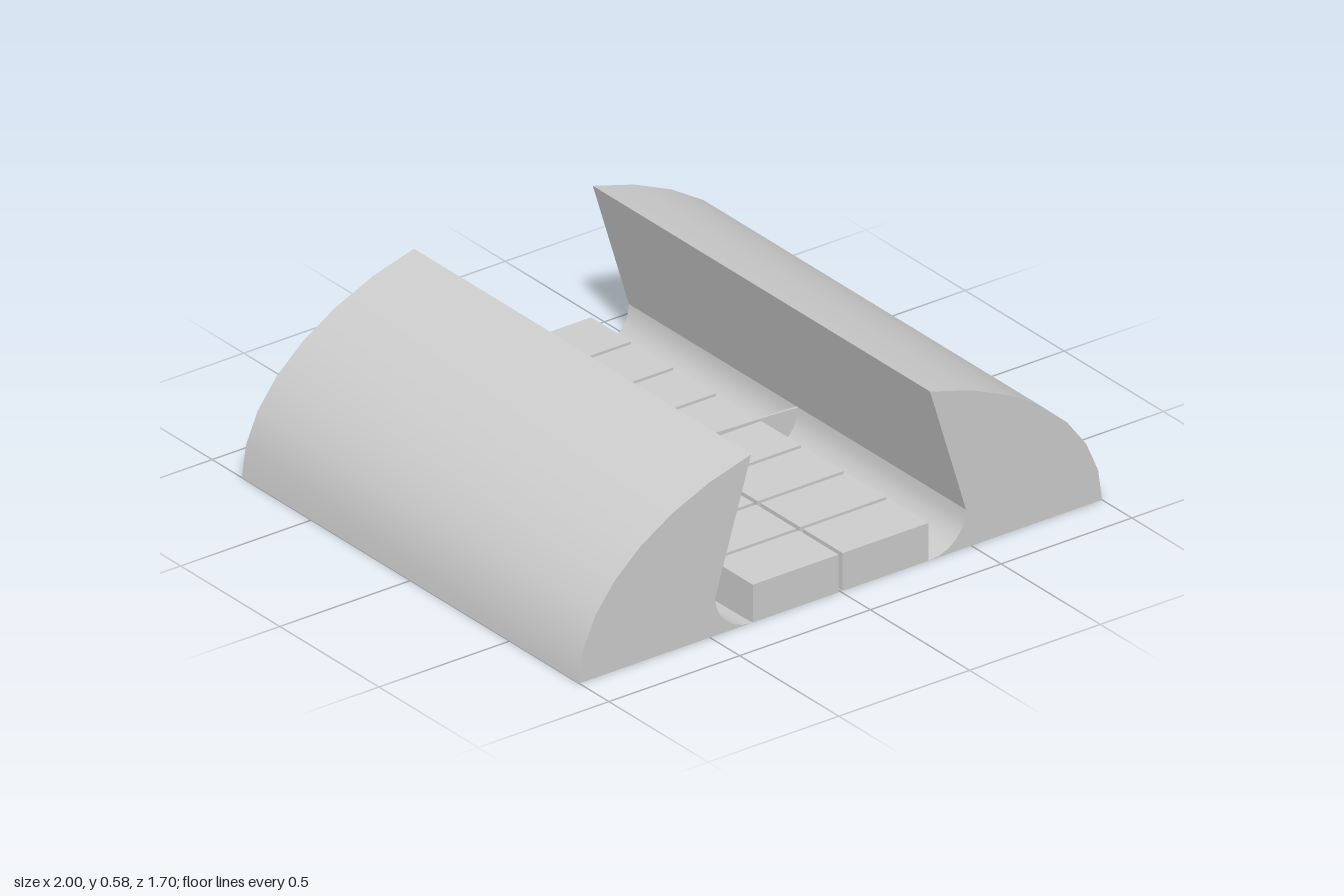
import * as THREE from 'three';

const HALF = 0.85; // half length along z
const mat = new THREE.MeshStandardMaterial({ color: 0xcccccc, side: THREE.DoubleSide });

const add = (parent, name, geometry) => {
  const mesh = new THREE.Mesh(geometry, mat);
  mesh.name = name;
  parent.add(mesh);
  return mesh;
};

// points on a quarter ellipse, from angle a to angle b in degrees
function ellipse(cx, cy, rx, ry, a, b, n) {
  return Array.from({ length: n + 1 }, (_, i) => {
    const t = THREE.MathUtils.degToRad(a + ((b - a) * i) / n);
    return new THREE.Vector2(cx + rx * Math.cos(t), cy + ry * Math.sin(t));
  });
}

// open sheet: a profile line swept along z, smooth along the profile
function sheet(points) {
  const pos = [], index = [];
  points.forEach((p, i) => {
    pos.push(p.x, p.y, HALF, p.x, p.y, -HALF);
    const k = 2 * i;
    if (i < points.length - 1) index.push(k, k + 1, k + 2, k + 1, k + 3, k + 2);
  });
  const g = new THREE.BufferGeometry();
  g.setAttribute('position', new THREE.Float32BufferAttribute(pos, 3));
  g.setIndex(index);
  g.computeVertexNormals();
  return g;
}

// box without its underside
function openBox(w, h, d) {
  const g = new THREE.BoxGeometry(w, h, d);
  const index = Array.from(g.index.array);
  index.splice(18, 6);
  g.setIndex(index);
  g.clearGroups();
  return g;
}

export function createModel() {
  const model = new THREE.Group();
  model.name = 'model';

  // side shells: curved back, leaning inner wall and rounded channel, open below
  const outer = ellipse(0, 0, 1, 0.617, 0, 70, 7);
  const channel = ellipse(0.34, 0.13, 0.14, 0.13, 0, -90, 6);
  for (const s of [1, -1]) {
    const side = new THREE.Group();
    side.name = s > 0 ? 'leftShell' : 'rightShell';
    const place = (pts) => {
      const out = pts.map((p) => new THREE.Vector2(s * p.x, p.y));
      return s > 0 ? out : out.reverse();
    };
    add(side, 'curvedBack', sheet(place(outer)));
    add(side, 'innerWall', sheet(place([outer[7], channel[0]])));
    add(side, 'channelWall', sheet(place(channel)));
    const cap = new THREE.ShapeGeometry(new THREE.Shape(place([...outer, ...channel])));
    add(side, 'frontCap', cap).position.z = HALF;
    const back = add(side, 'backCap', cap.clone().rotateY(Math.PI).scale(-1, 1, 1));
    back.geometry = new THREE.ShapeGeometry(new THREE.Shape(place([...outer, ...channel])));
    const ix = back.geometry.index.array;
    for (let i = 0; i < ix.length; i += 3) [ix[i], ix[i + 1]] = [ix[i + 1], ix[i]];
    back.geometry.computeVertexNormals();
    back.position.z = -HALF;
    model.add(side);
  }

  // two columns of hollow floor blocks, joined by short pins
  const rows = 8, depth = 0.2, pitch = (2 * HALF - depth) / (rows - 1);
  const block = openBox(0.328, 0.13, depth);
  const pin = new THREE.CylinderGeometry(0.02, 0.02, 0.1, 12).rotateX(Math.PI / 2);
  const floor = new THREE.Group();
  floor.name = 'floor';
  for (const s of [1, -1]) {
    for (let r = 0; r < rows; r++) {
      const z = -HALF + depth / 2 + r * pitch;
      add(floor, 'floorBlock', block).position.set(s * 0.172, 0.065, z);
      if (r < rows - 1) add(floor, 'pin', pin).position.set(s * 0.168, 0.07, z + pitch / 2);
    }
  }
  model.add(floor);

  // thin cross rib at mid length, filling the channel with a slightly arched top
  const top = [[-0.34, 0.137], [-0.1, 0.144], [0.1, 0.144], [0.34, 0.137]];
  const rib = new THREE.Shape([
    ...channel.map((p) => new THREE.Vector2(p.x, p.y)).reverse(),
    ...top.map(([x, y]) => new THREE.Vector2(x, y)).reverse(),
    ...channel.map((p) => new THREE.Vector2(-p.x, p.y)),
  ]);
  add(model, 'crossRib', new THREE.ExtrudeGeometry(rib, { depth: 0.008, bevelEnabled: false }))
    .position.z = -0.004;

  return model;
}
